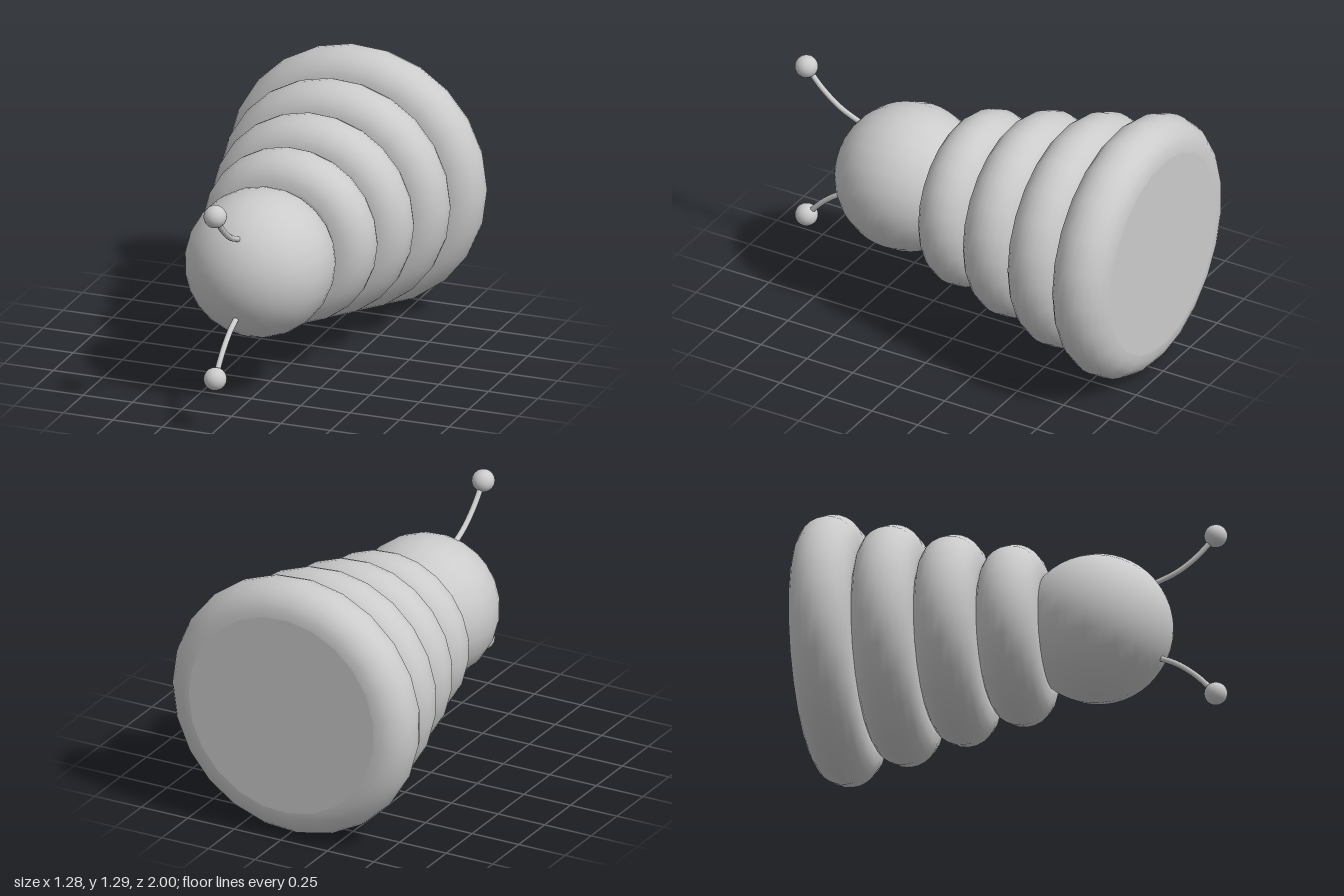
import * as THREE from 'three';

const SIDES = 23;
const AXIS_X = -0.003;
const AXIS_Y = 0.645;
const material = new THREE.MeshStandardMaterial({ color: 0xcccccc });

function addMesh(parent, name, geometry, x, y, z) {
  const mesh = new THREE.Mesh(geometry, material);
  mesh.name = name;
  mesh.position.set(x, y, z);
  parent.add(mesh);
  return mesh;
}

// Flat-faced disc with a half-round rim, turned about the z axis
function discGeometry(radius, half) {
  const core = radius - half;
  const steps = 12;
  const points = [new THREE.Vector2(0, -half), new THREE.Vector2(core * 0.99, -half)];
  for (let i = 0; i <= steps; i++) {
    const a = -Math.PI / 2 + (Math.PI * i) / steps;
    points.push(new THREE.Vector2(core + half * Math.cos(a), half * Math.sin(a)));
  }
  points.push(new THREE.Vector2(core * 0.99, half), new THREE.Vector2(0, half));
  return new THREE.LatheGeometry(points, SIDES, Math.PI / 2).rotateX(Math.PI / 2);
}

function sphereGeometry(radius, sides, rows) {
  return new THREE.SphereGeometry(radius, sides, rows, Math.PI).rotateX(Math.PI / 2);
}

export function createModel() {
  const group = new THREE.Group();
  group.name = 'segmentedBug';

  // Body segments, growing toward the back
  [0.432, 0.503, 0.574, 0.6455].forEach((radius, i) => {
    addMesh(group, `bodySegment${i + 1}`, discGeometry(radius, 0.145),
      AXIS_X, AXIS_Y, -0.285 * i);
  });

  // Head
  addMesh(group, 'head', sphereGeometry(0.356, SIDES, 24), AXIS_X, AXIS_Y, 0.38);

  // Curved antennae with ball tips, one above and one below
  for (const side of [1, -1]) {
    const antenna = new THREE.Group();
    antenna.name = side > 0 ? 'upperAntenna' : 'lowerAntenna';
    antenna.position.set(-0.005, 0.666, 0);
    const curve = new THREE.CatmullRomCurve3([
      [0.17, 0.6], [0.197, 0.67], [0.238, 0.76], [0.31, 0.855], [0.408, 0.945],
    ].map(([y, z]) => new THREE.Vector3(0, y * side, z)));
    addMesh(antenna, 'stalk', new THREE.TubeGeometry(curve, 16, 0.014, 10), 0, 0, 0);
    addMesh(antenna, 'tip', sphereGeometry(0.055, 20, 14), 0, 0.408 * side, 0.945);
    group.add(antenna);
  }

  return group;
}
